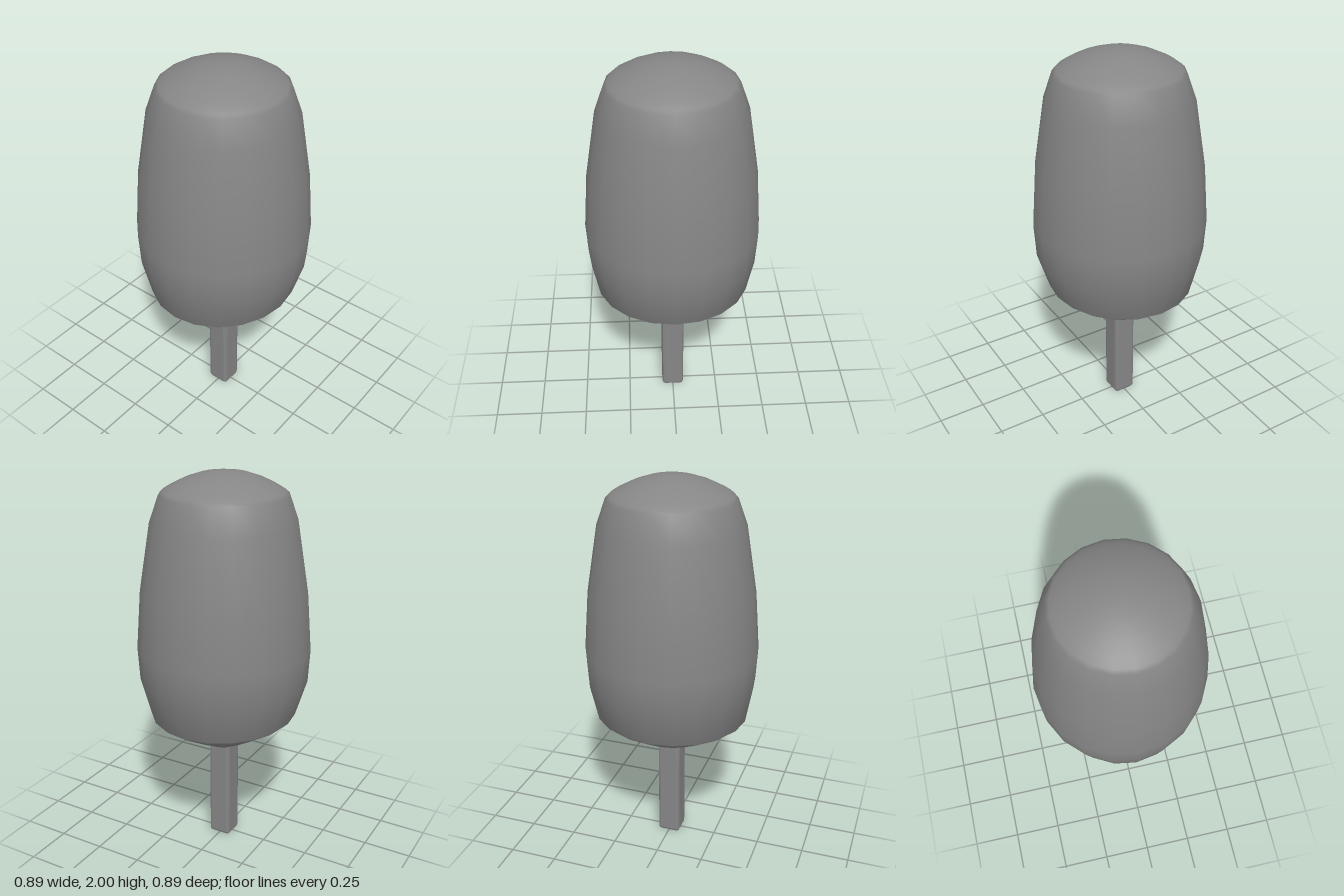
import * as THREE from 'three';
import { RoundedBoxGeometry } from 'three/addons/geometries/RoundedBoxGeometry.js';

export function createModel() {
  const model = new THREE.Group();
  model.name = 'iceLolly';
  const add = (name, geometry, options = {}) => {
    const mesh = new THREE.Mesh(geometry, new THREE.MeshStandardMaterial({ color: 0x868686, ...options }));
    mesh.name = name;
    model.add(mesh);
    return mesh;
  };

  // Frozen body: smooth 20-sided turning; tight rings keep the cap and taper edges crisp
  const profile = [
    [0, 0.54], [0.03, 0.541], [0.07, 0.55], [0.18, 0.616], [0.28, 0.68], [0.345, 0.722],
    [0.375, 0.747], [0.437, 0.945], [0.446, 1.115], [0.422, 1.417], [0.365, 1.76], [0.318, 1.89],
    [0.3, 1.906], [0.265, 1.928], [0.2, 1.96], [0.12, 1.987], [0.05, 1.998], [0, 2],
  ].map(([r, y]) => new THREE.Vector2(r, y));
  const body = new THREE.LatheGeometry(profile, 20);

  // The lower taper is slightly deeper than it is wide
  const pos = body.attributes.position;
  for (let i = 0; i < pos.count; i++) {
    if (pos.getY(i) < 0.8) pos.setZ(i, pos.getZ(i) * 1.07);
  }
  add('frozenBody', body);

  // Square stick with narrow bevels, reaching up into the body
  const height = 0.62;
  const stick = add('stick', new RoundedBoxGeometry(0.12, height, 0.12, 1, 0.016), { flatShading: true });
  stick.position.y = height / 2;

  return model;
}
